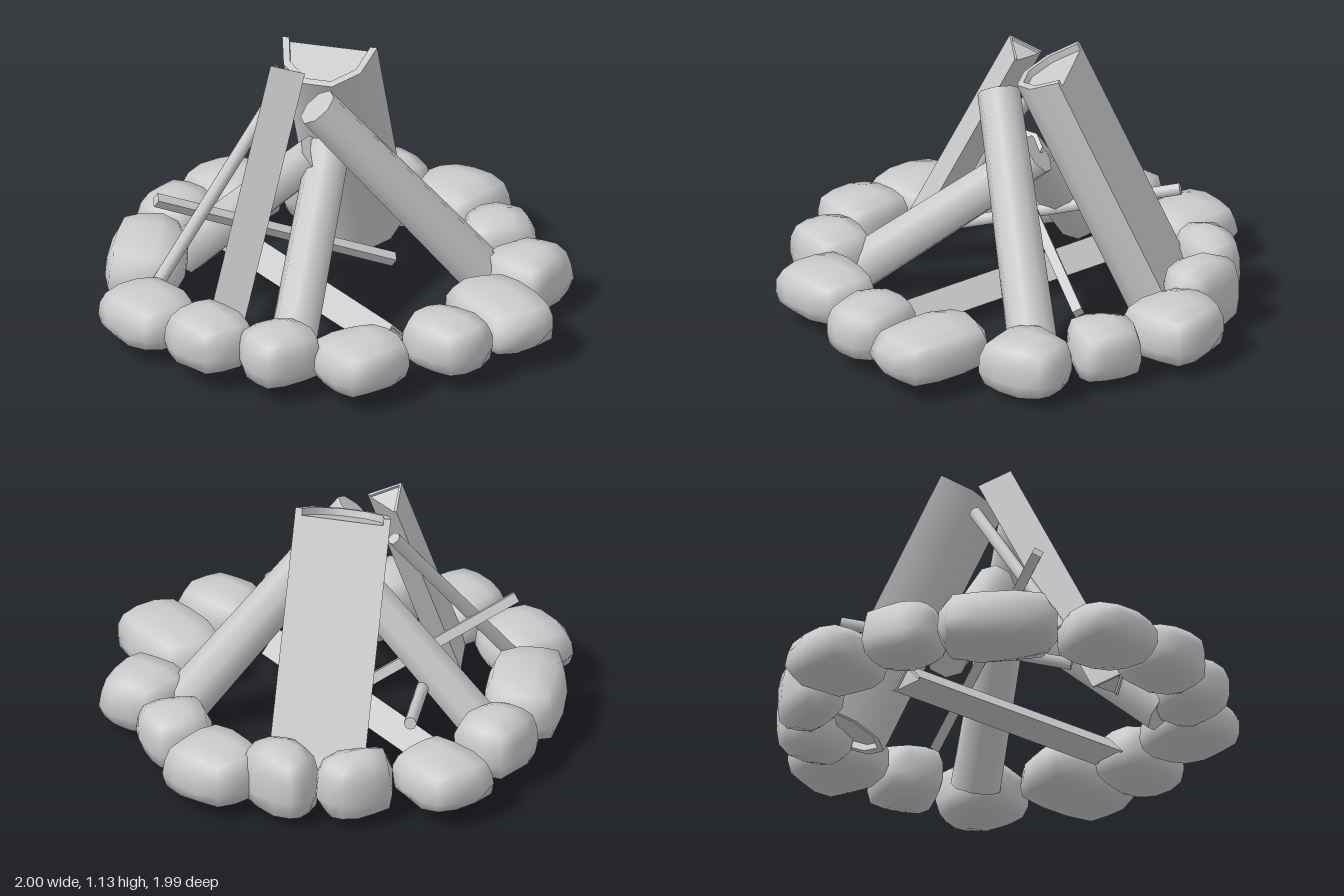
import * as THREE from 'three';
import { mergeVertices, toCreasedNormals } from 'three/addons/utils/BufferGeometryUtils.js';

const material = new THREE.MeshStandardMaterial({ color: 0xcccccc });
const V = (p) => new THREE.Vector3(...p);

function seeded(seed) {
  let s = seed * 7919 + 17;
  return () => (s = (s * 16807) % 2147483647) / 2147483647;
}

function mesh(name, geometry) {
  const m = new THREE.Mesh(geometry, material);
  m.name = name;
  return m;
}

// Round log or stick between two points
function rod(name, from, to, rTop, rBottom, sides) {
  const a = V(from), b = V(to), dir = b.clone().sub(a);
  const m = mesh(name, new THREE.CylinderGeometry(rTop, rBottom, dir.length(), sides));
  if (sides < 5) m.geometry = toCreasedNormals(m.geometry, 0.5);
  m.position.copy(a).add(b).multiplyScalar(0.5);
  m.quaternion.setFromUnitVectors(new THREE.Vector3(0, 1, 0), dir.normalize());
  return m;
}

// Split log: flat face (half width "radius") through from-to, bark side bulging
// by "depth" towards "bulge"; the bark stands proud of the recessed wood at both ends
function splitLog(name, from, to, bulge, radius, depth, segments, bark, recess) {
  const a = V(from), b = V(to), z = b.clone().sub(a), length = z.length();
  z.normalize();
  const y = V(bulge);
  y.addScaledVector(z, -y.dot(z)).normalize();
  const x = new THREE.Vector3().crossVectors(y, z);

  const arc = (inset) => Array.from({ length: segments + 1 }, (_, i) => {
    const t = (Math.PI * i) / segments;
    return new THREE.Vector2((radius - inset) * Math.cos(t), (depth - inset) * Math.sin(t));
  });
  const extrude = (points, long) => toCreasedNormals(
    new THREE.ExtrudeGeometry(new THREE.Shape(points), { depth: long, bevelEnabled: false }), 0.95);

  const group = new THREE.Group();
  group.name = name;
  const shell = mesh(name + 'Bark', extrude([...arc(0), ...arc(bark).reverse()], length));
  const core = mesh(name + 'Wood', extrude(arc(bark), length - 2 * recess));
  core.position.z = recess;
  group.add(shell, core);
  group.quaternion.setFromRotationMatrix(new THREE.Matrix4().makeBasis(x, y, z));
  group.position.copy(a);
  return group;
}

// Worn stone: a coarse cube rounded towards a superellipsoid, then roughened
function stone(index, [x, y, z, hx, hy, hz, yaw]) {
  const rand = seeded(index + 3);
  let g = new THREE.BoxGeometry(2, 2, 2, 3, 3, 3);
  g.deleteAttribute('uv');
  g.deleteAttribute('normal');
  g = mergeVertices(g);
  const pos = g.attributes.position, p = new THREE.Vector3();
  const n = 3.8, skewX = (rand() - 0.5) * 0.25, skewZ = (rand() - 0.5) * 0.25;
  for (let i = 0; i < pos.count; i++) {
    p.fromBufferAttribute(pos, i);
    const norm = (Math.abs(p.x) ** n + Math.abs(p.y) ** n + Math.abs(p.z) ** n) ** (1 / n);
    p.multiplyScalar((1.01 + (rand() - 0.5) * 0.07) / norm);
    const taper = 1 - 0.04 * p.y;
    pos.setXYZ(i, p.x * taper * (1 + skewX * p.z) * hx, p.y * hy, p.z * taper * (1 + skewZ * p.x) * hz);
  }
  g.computeVertexNormals();
  const m = mesh('stone' + (index + 1), g);
  m.position.set(x, y, z);
  m.rotation.y = yaw;
  return m;
}

export function createModel() {
  const model = new THREE.Group();
  model.name = 'campfire';

  // Ring of stones: centre, half sizes, yaw
  const stones = [
    [0.095, 0.16, -0.805, 0.165, 0.10, 0.19, 0.1],
    [-0.255, 0.175, -0.725, 0.155, 0.12, 0.14, 0.3],
    [-0.57, 0.18, -0.495, 0.25, 0.12, 0.16, 0.85],
    [-0.825, 0.155, -0.12, 0.17, 0.10, 0.185, 0],
    [-0.775, 0.18, 0.235, 0.15, 0.11, 0.17, 0.06],
    [-0.61, 0.175, 0.515, 0.155, 0.115, 0.14, -0.1],
    [-0.35, 0.16, 0.74, 0.185, 0.10, 0.165, 0],
    [0.03, 0.17, 0.81, 0.145, 0.11, 0.175, 0.2],
    [0.355, 0.165, 0.74, 0.165, 0.10, 0.24, -0.05],
    [0.68, 0.14, 0.485, 0.165, 0.12, 0.155, 0.25],
    [0.76, 0.145, 0.15, 0.145, 0.12, 0.14, -0.3],
    [0.805, 0.155, -0.195, 0.175, 0.115, 0.185, 0.15],
    [0.645, 0.17, -0.45, 0.115, 0.15, 0.155, 0.1],
    [0.425, 0.17, -0.67, 0.155, 0.14, 0.105, -0.2],
  ];
  const ring = new THREE.Group();
  ring.name = 'stoneRing';
  stones.forEach((s, i) => ring.add(stone(i, s)));
  model.add(ring);

  // Round logs leaning together
  model.add(
    rod('frontLog', [0.57, 0.1, 0.37], [-0.085, 0.97, 0.045], 0.09, 0.105, 8),
    rod('leftFrontLog', [-0.52, 0.1, 0.46], [0.05, 0.7, -0.06], 0.09, 0.1, 8),
    rod('backLog', [-0.33, 0.1, -0.57], [-0.03, 0.7, -0.04], 0.085, 0.095, 8),
  );

  // Split logs: the wide half log, the leaning wedge and the wedge on the ground
  model.add(
    splitLog('halfLog', [0.505, 0.1, -0.475], [0.125, 1.125, -0.16], [-0.77, -0.45, 0.64], 0.205, 0.24, 5, 0.03, 0.03),
    splitLog('leaningWedge', [-0.585, 0.05, 0.085], [-0.1, 1.08, -0.125], [-0.89, 0.43, 0.1], 0.085, 0.125, 2, 0.015, 0.012),
    splitLog('groundWedge', [-0.065, 0.07, -0.56], [-0.065, 0.07, 0.56], [0, 1, 0], 0.087, 0.09, 2, 0.015, 0.012),
  );

  // Kindling sticks
  model.add(
    rod('lowStick', [-0.47, 0.19, 0], [0.18, 0.39, -0.71], 0.027, 0.027, 8),
    rod('crossStick', [0.36, 0.09, -0.03], [-0.64, 0.54, -0.335], 0.03, 0.03, 4),
    rod('steepStick', [-0.7, 0.19, -0.25], [-0.1, 0.95, -0.21], 0.028, 0.028, 8),
  );
  return model;
}
